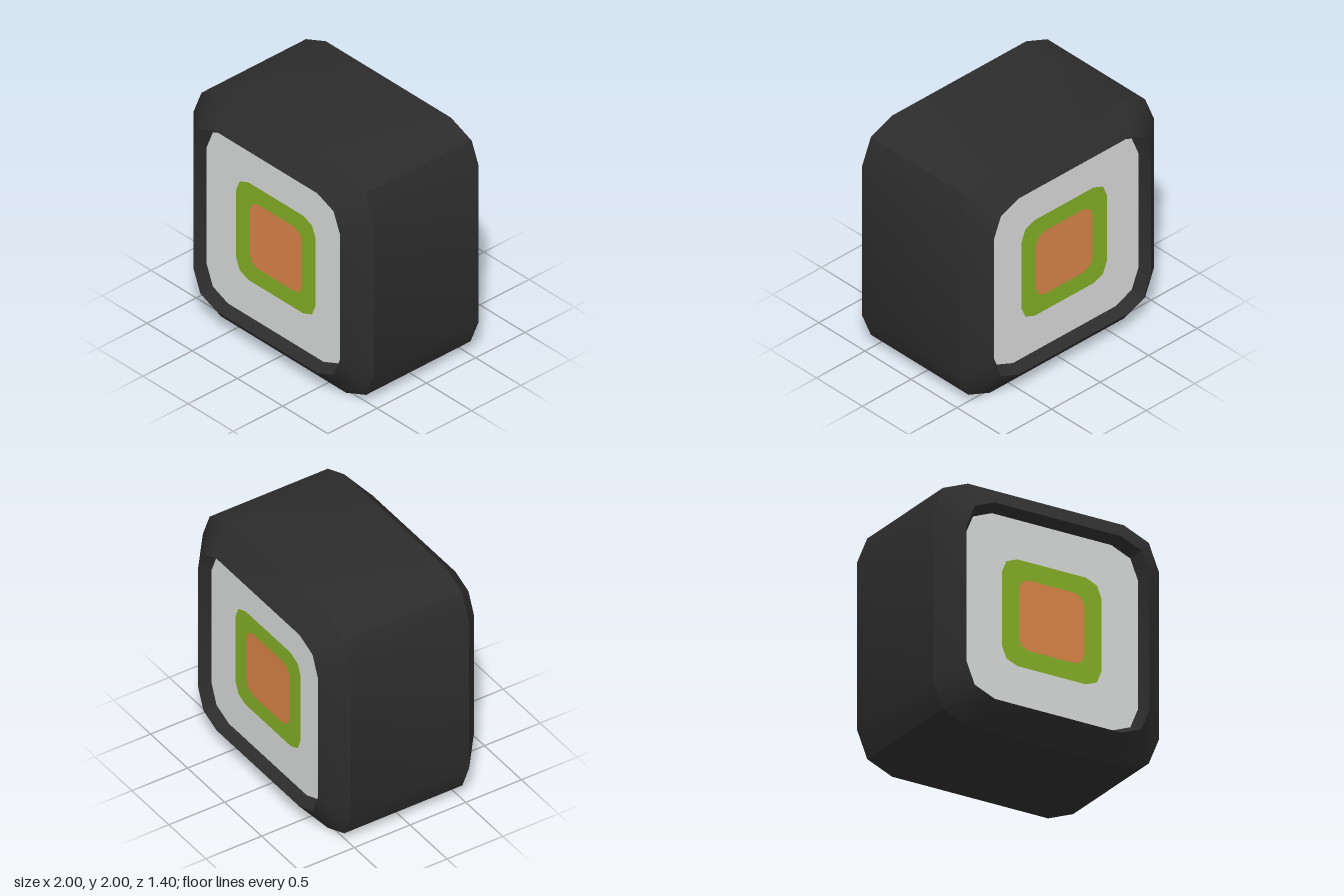
import * as THREE from 'three';
import { toCreasedNormals } from 'three/addons/utils/BufferGeometryUtils.js';

const FACE_Z = 0.61; // depth of the recessed end faces

// Square outline with chamfered corners, counter-clockwise, half width s
function outline(s) {
  const corner = [[1, 0.69], [0.91, 0.91], [0.69, 1]];
  const points = [];
  for (let q = 0; q < 4; q++) {
    for (const [x, y] of corner) {
      points.push(new THREE.Vector2(x * s, y * s).rotateAround(new THREE.Vector2(), q * Math.PI / 2));
    }
  }
  return points;
}

// Skin lofted through scaled outlines, listed as [z, half width]
function loft(rings) {
  const positions = [], index = [];
  const n = outline(1).length;
  for (const [z, s] of rings) {
    for (const p of outline(s)) positions.push(p.x, p.y, z);
  }
  for (let r = 0; r < rings.length - 1; r++) {
    for (let i = 0; i < n; i++) {
      const a = r * n + i, b = r * n + (i + 1) % n;
      index.push(a, a + n, b, b, a + n, b + n);
    }
  }
  const geometry = new THREE.BufferGeometry();
  geometry.setAttribute('position', new THREE.Float32BufferAttribute(positions, 3));
  geometry.setIndex(index);
  return toCreasedNormals(geometry, THREE.MathUtils.degToRad(35));
}

// Flat end face, optionally with a hole for the next filling
function endFace(outer, inner) {
  const shape = new THREE.Shape(outline(outer));
  if (inner) shape.holes.push(new THREE.Path(outline(inner).reverse()));
  return new THREE.ShapeGeometry(shape).translate(0, 0, FACE_Z);
}

export function createModel() {
  const material = (name, color) => {
    const m = new THREE.MeshStandardMaterial({ color });
    m.name = name;
    return m;
  };
  const seaweedBlack = material('seaweedBlack', 0x2c2c2c);
  const riceWhite = material('riceWhite', 0xd6d8d7);
  const avocadoGreen = material('avocadoGreen', 0x82ad25);
  const salmonOrange = material('salmonOrange', 0xd78347);

  const model = new THREE.Group();
  model.name = 'sushiRoll';
  const add = (parent, name, geometry, mat) => {
    const mesh = new THREE.Mesh(geometry, mat);
    mesh.name = name;
    parent.add(mesh);
  };

  // Wrapper with bevelled rims that fold in to both end faces
  add(model, 'seaweedWrap', loft([
    [FACE_Z, 0.765], [0.7, 0.81], [0.53, 1],
    [-0.53, 1], [-0.7, 0.81], [-FACE_Z, 0.765],
  ]), seaweedBlack);

  // Matching fillings at the front and back
  for (const [name, turn] of [['front', 0], ['back', Math.PI]]) {
    const end = new THREE.Group();
    end.name = name + 'End';
    end.rotation.y = turn;
    add(end, name + 'Rice', endFace(0.765, 0.44), riceWhite);
    add(end, name + 'Avocado', endFace(0.44, 0.29), avocadoGreen);
    add(end, name + 'Salmon', endFace(0.29), salmonOrange);
    model.add(end);
  }

  model.position.y = 1;
  const root = new THREE.Group();
  root.name = 'model';
  root.add(model);
  return root;
}
